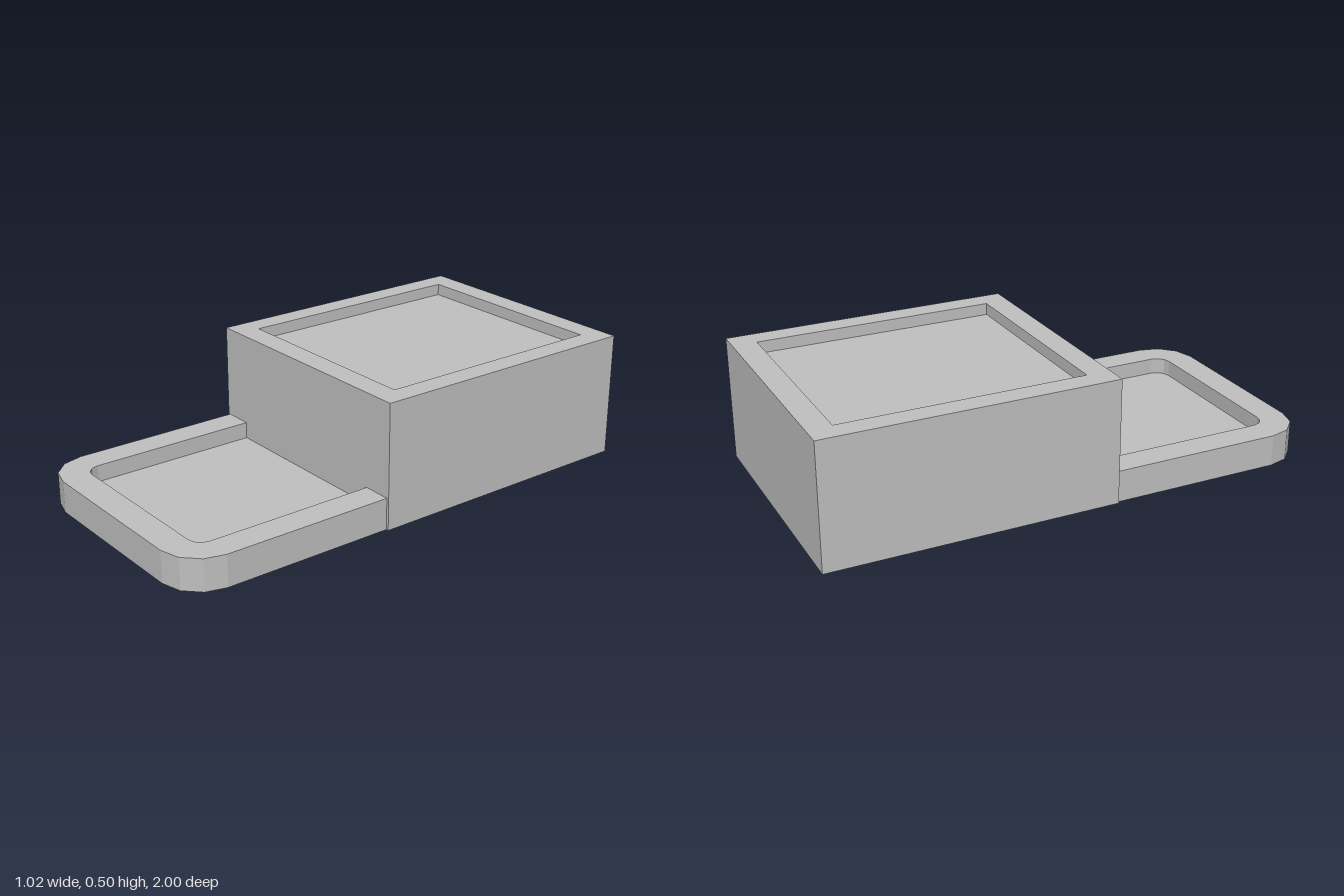
import * as THREE from 'three';

// Outline seen from above: back left, front left, front right, back right.
// A corner radius rounds the two front corners in three steps.
function outline(halfWidth, back, front, radius = 0) {
  const points = [[-halfWidth, back]];
  const steps = radius ? 3 : 0;
  for (const side of [-1, 1]) {
    for (let i = 0; i <= steps; i++) {
      const t = steps ? i / steps : 0;
      const angle = (side < 0 ? t : 1 - t) * Math.PI / 2;
      points.push([
        side * (halfWidth - radius + radius * Math.cos(angle)),
        front - radius + radius * Math.sin(angle),
      ]);
    }
  }
  points.push([halfWidth, back]);
  return points;
}

// Solid with a sunken top: outer wall, flat rim, inner wall, floor and underside.
function recessedBlock(name, outer, inner, height, floor, openBack, material) {
  const at = (points, y) => points.map(([x, z]) => new THREE.Vector3(x, y, z));
  const rings = [at(outer, 0), at(outer, height), at(inner, height), at(inner, floor)];
  const n = outer.length;
  const corners = [];
  for (let r = 0; r < 3; r++) {
    const a = rings[r], b = rings[r + 1];
    for (let i = 0; i < (openBack ? n - 1 : n); i++) {
      const j = (i + 1) % n;
      corners.push(a[i], a[j], b[j], a[i], b[j], b[i]);
    }
  }
  const [bottom, , , top] = rings;
  for (let i = 1; i < n - 1; i++) {
    corners.push(bottom[0], bottom[i + 1], bottom[i]);
    corners.push(top[0], top[i], top[i + 1]);
  }
  const geometry = new THREE.BufferGeometry().setFromPoints(corners);
  geometry.computeVertexNormals();
  const mesh = new THREE.Mesh(geometry, material);
  mesh.name = name;
  return mesh;
}

export function createModel() {
  const group = new THREE.Group();
  group.name = 'steppedTray';
  const grey = new THREE.MeshStandardMaterial({ color: 0xc0c0c0 });
  grey.name = 'light grey';

  // Tall rear box with a shallow rectangular recess
  group.add(recessedBlock('rearBox',
    outline(0.51, -1, 0.15), outline(0.42, -0.905, 0.055), 0.497, 0.45, false, grey));

  // Low front tray, rounded at the front and closed by the box at the back
  group.add(recessedBlock('frontTray',
    outline(0.5, 0.15, 1, 0.16), outline(0.385, 0.15, 0.885, 0.055), 0.126, 0.06, true, grey));

  return group;
}
